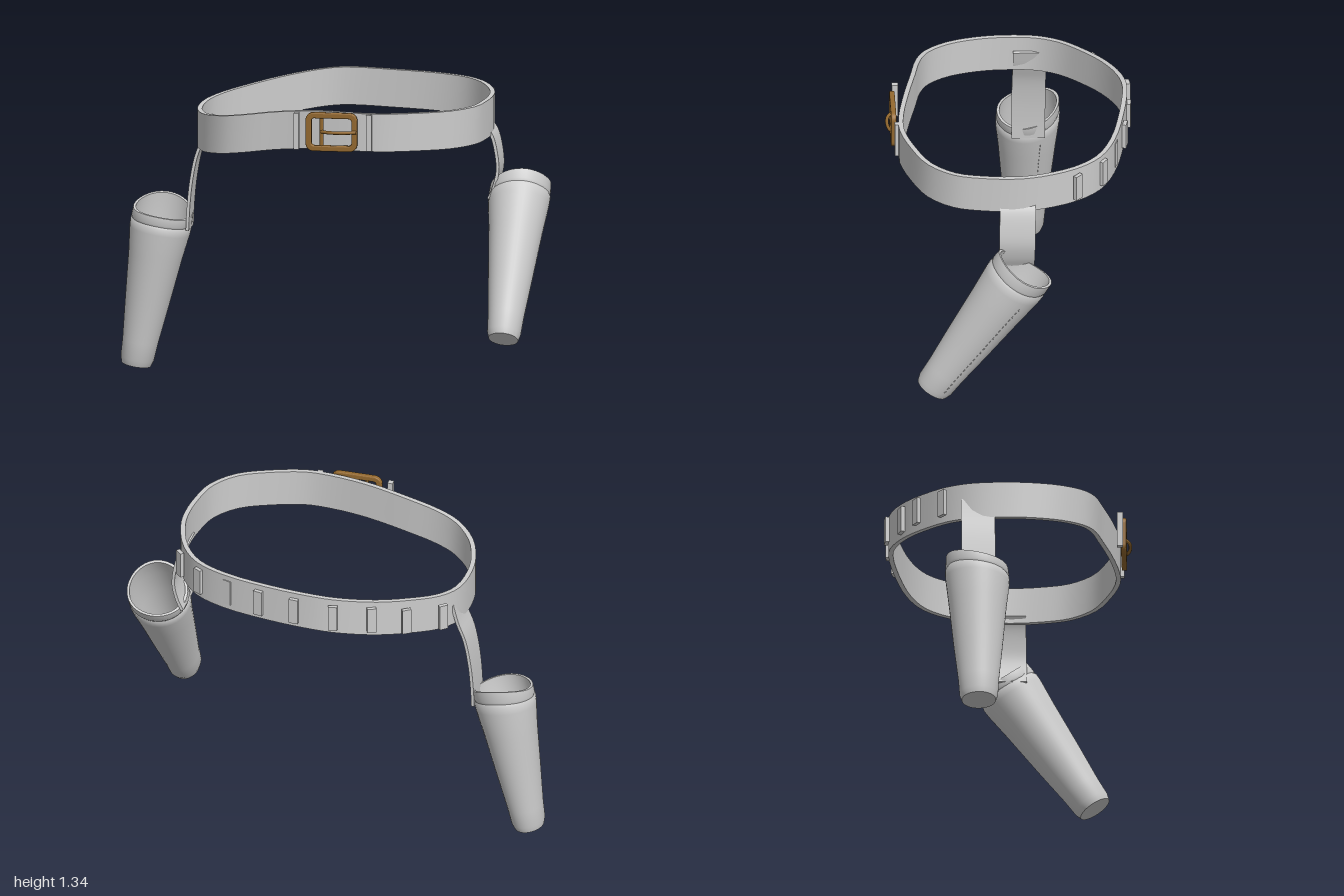
import * as THREE from 'three';
import { toCreasedNormals } from 'three/addons/utils/BufferGeometryUtils.js';

const V = (x, y, z) => new THREE.Vector3(x, y, z);

// The belt sags towards its right side (-x)
const drop = (x) => 0.09 * Math.pow(THREE.MathUtils.clamp((-0.05 - x) / 0.57, 0, 1), 1.2);

// Sweeps a flat rectangular section (half width along w, half thickness t) along points
function band(points, w, half, t, closed) {
  const pos = [], index = [], n = points.length;
  points.forEach((p, i) => {
    const a = points[closed ? (i + n - 1) % n : Math.max(i - 1, 0)];
    const b = points[closed ? (i + 1) % n : Math.min(i + 1, n - 1)];
    const side = b.clone().sub(a).cross(w).normalize();
    for (const [sw, sn] of [[1, 1], [-1, 1], [-1, -1], [1, -1]]) {
      const c = p.clone().addScaledVector(w, sw * half).addScaledVector(side, sn * t);
      pos.push(c.x, c.y, c.z);
    }
  });
  for (let i = 0; i < (closed ? n : n - 1); i++) {
    const r = i * 4, s = ((i + 1) % n) * 4;
    for (let k = 0; k < 4; k++) {
      const m = (k + 1) % 4;
      index.push(r + k, r + m, s + k, r + m, s + m, s + k);
    }
  }
  if (!closed) {
    const e = (n - 1) * 4;
    index.push(0, 2, 1, 0, 3, 2, e, e + 1, e + 2, e, e + 2, e + 3);
  }
  const g = new THREE.BufferGeometry();
  g.setAttribute('position', new THREE.Float32BufferAttribute(pos, 3));
  g.setIndex(index);
  return toCreasedNormals(g, 0.6);
}

function roundedRect(path, x0, y0, x1, y1, r) {
  path.moveTo(x0 + r, y0);
  path.absarc(x1 - r, y0 + r, r, -Math.PI / 2, 0);
  path.absarc(x1 - r, y1 - r, r, 0, Math.PI / 2);
  path.absarc(x0 + r, y1 - r, r, Math.PI / 2, Math.PI);
  path.absarc(x0 + r, y0 + r, r, Math.PI, Math.PI * 1.5);
  path.closePath();
  return path;
}

export function createModel() {
  const leather = new THREE.MeshStandardMaterial({ color: 0xcccccc });
  leather.name = 'leather';
  const brass = new THREE.MeshStandardMaterial({ color: 0x94692f });
  brass.name = 'brass';

  const model = new THREE.Group();
  const add = (name, geometry, material = leather, parent = model) => {
    const m = new THREE.Mesh(geometry, material);
    m.name = name;
    parent.add(m);
    return m;
  };

  // Belt: closed outline seen from above
  const outline = [
    [-0.03, -0.535], [0.2, -0.51], [0.42, -0.46], [0.56, -0.39], [0.65, -0.28], [0.71, -0.12],
    [0.725, 0], [0.712, 0.15], [0.68, 0.27], [0.59, 0.38], [0.45, 0.45], [0.3, 0.495],
    [0.18, 0.495], [0, 0.465], [-0.2, 0.425], [-0.36, 0.395], [-0.46, 0.35], [-0.55, 0.25],
    [-0.6, 0.12], [-0.615, 0], [-0.6, -0.15], [-0.54, -0.26], [-0.43, -0.36], [-0.3, -0.45],
    [-0.15, -0.515],
  ].map(([x, z]) => V(x, 1.2525 - drop(x), z));
  const beltCurve = new THREE.CatmullRomCurve3(outline, true, 'centripetal');
  add('belt', band(beltCurve.getPoints(75).slice(0, 75), V(0, 1, 0), 0.0875, 0.011, true));

  // Cartridge loops along the back
  const loops = new THREE.CatmullRomCurve3([
    [-0.57, -0.29], [-0.43, -0.41], [-0.285, -0.482], [-0.12, -0.552], [0.065, -0.55],
    [0.24, -0.525], [0.4, -0.472], [0.555, -0.415], [0.675, -0.293],
  ].map(([x, z]) => V(x, 1.2525 - drop(x), z)));
  for (let i = 0; i < 9; i++) {
    const m = add('cartridgeLoop', new THREE.BoxGeometry(0.042, 0.125, 0.018));
    const t = loops.getTangent(i / 8);
    m.position.copy(loops.getPoint(i / 8));
    m.rotation.y = -Math.atan2(t.z, t.x);
  }

  // Keeper loops beside the buckle
  for (const x of [-0.098, 0.237]) {
    add('beltKeeper', new THREE.BoxGeometry(0.024, 0.168, 0.028)).position.set(x, 1.2525, 0.512);
  }

  // Buckle: frame, bar and prong
  const buckle = new THREE.Group();
  buckle.name = 'buckle';
  model.add(buckle);
  const frame = roundedRect(new THREE.Shape(), -0.047, 1.171, 0.179, 1.339, 0.03);
  frame.holes.push(roundedRect(new THREE.Path(), -0.032, 1.186, 0.164, 1.324, 0.018));
  add('buckleFrame', new THREE.ExtrudeGeometry(frame, {
    depth: 0.012, bevelThickness: 0.006, bevelSize: 0.006, bevelSegments: 3, curveSegments: 6,
  }), brass, buckle).position.z = 0.522;
  add('buckleBar', new THREE.CylinderGeometry(0.009, 0.009, 0.155, 10), brass, buckle)
    .position.set(0.02, 1.255, 0.528);
  const prong = new THREE.CatmullRomCurve3([
    V(0.018, 1.256, 0.532), V(0.06, 1.256, 0.553), V(0.14, 1.257, 0.553), V(0.18, 1.258, 0.54),
  ]);
  add('buckleProng', new THREE.TubeGeometry(prong, 16, 0.008, 8), brass, buckle);

  // Hanging straps
  const strap = (name, pts, half) => add(name, band(
    new THREE.CatmullRomCurve3(pts.map((p) => V(...p))).getPoints(20), V(0, 0, 1), half, 0.007, false));
  strap('leftStrap', [
    [0.712, 1.2, -0.015], [0.737, 1.16, -0.015], [0.757, 1.08, -0.013], [0.763, 1.0, -0.012],
    [0.745, 0.92, -0.01], [0.722, 0.87, -0.01],
  ], 0.082);
  strap('rightStrap', [
    [-0.588, 1.18, -0.125], [-0.612, 1.09, -0.125], [-0.645, 1.0, -0.123],
    [-0.668, 0.88, -0.122], [-0.68, 0.76, -0.122], [-0.685, 0.655, -0.122],
  ], 0.077);

  // Holsters: hollow tapered cups with a shaped rim
  const outer = [[0, 0], [0.078, 0], [0.088, 0.04], [0.093, 0.15], [0.112, 0.4], [0.132, 0.7],
    [0.146, 0.87], [0.147, 0.915], [0.141, 0.93], [0.145, 0.945], [0.142, 1]];
  const inner = [[0.13, 1], [0.132, 0.87], [0.118, 0.7], [0.1, 0.4], [0.08, 0.1], [0, 0.05]];
  const holster = (name, bottom, top, rimSide, rimFront) => {
    const axis = top.clone().sub(bottom), len = axis.length();
    axis.normalize();
    const front = V(1, 0, 0).cross(axis).normalize();
    const matrix = new THREE.Matrix4().makeBasis(axis.clone().cross(front), axis, front).setPosition(bottom);
    const group = new THREE.Group();
    group.name = name;
    model.add(group);

    const g = new THREE.LatheGeometry(
      [...outer, ...inner].map(([r, t]) => new THREE.Vector2(r, t * len)), 40);
    const p = g.attributes.position;
    for (let i = 0; i < p.count; i++) {
      const x = p.getX(i), y = p.getY(i), z = p.getZ(i), t = y / len;
      const nx = x / 0.142, nz = z / 0.142;
      const lift = Math.pow(t, 6) * (rimSide * nx + rimFront * nz + 0.012 * (nz * nz - nx * nx));
      p.setXYZ(i, x * (0.87 + 0.1 * t), y + lift, z);
    }
    g.applyMatrix4(matrix);
    add('holsterCup', toCreasedNormals(g, 0.6), leather, group);

    // Row of small stitches on the +x side, slightly to the back
    const seam = (t) => {
      const i = outer.findIndex(([, s], k) => k > 1 && s >= t), [r0, t0] = outer[i - 1], [r1, t1] = outer[i];
      const r = r0 + (r1 - r0) * (t - t0) / (t1 - t0), a = 0.4;
      return V(Math.cos(a) * r * (0.87 + 0.1 * t), t * len, -Math.sin(a) * r).applyMatrix4(matrix);
    };
    for (let i = 0; i < 24; i++) {
      const a = seam(0.06 + i * 0.033), b = seam(0.076 + i * 0.033);
      add('stitch', new THREE.TubeGeometry(new THREE.LineCurve3(a, b), 1, 0.0025, 5), leather, group);
    }
  };
  holster('leftHolster', V(0.836, 0.283, 0.38), V(0.856, 0.93, -0.038), 0.02, 0);
  holster('rightHolster', V(-0.93, 0.014, -0.115), V(-0.805, 0.745, -0.125), 0, -0.035);

  return model;
}
